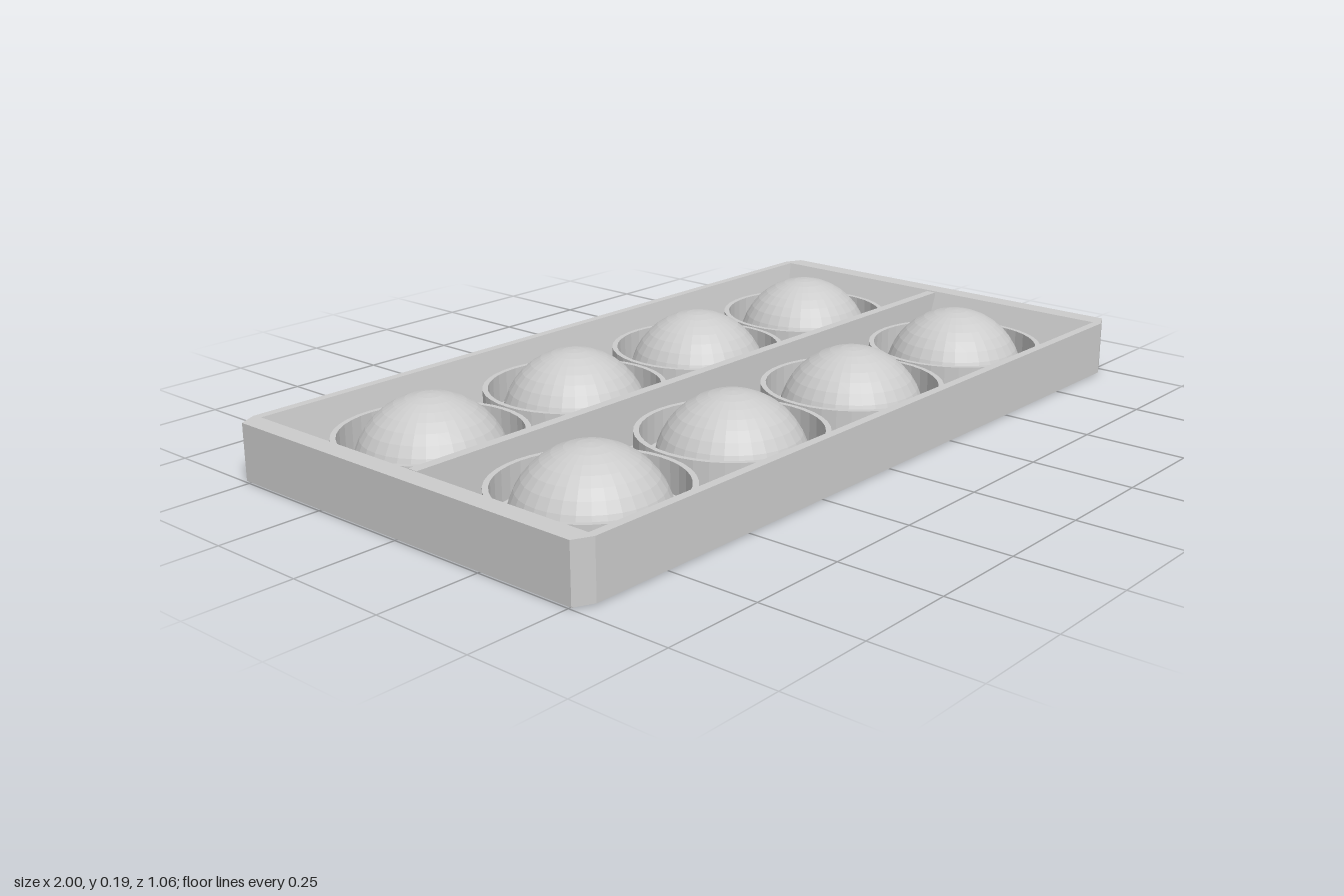
import * as THREE from 'three';

const material = new THREE.MeshStandardMaterial({ color: 0xcccccc, flatShading: true });

// Rectangle with cut corners: half sizes x, z and corner cuts cx, cz, at height y
function loop(x, z, cx, cz, y) {
  return [
    [x, y, -z + cz], [x, y, z - cz], [x - cx, y, z], [-x + cx, y, z],
    [-x, y, z - cz], [-x, y, -z + cz], [-x + cx, y, -z], [x - cx, y, -z],
  ];
}

// Skin a list of equal loops
function skin(loops) {
  const n = loops[0].length;
  const index = [];
  for (let k = 0; k < loops.length - 1; k++) {
    for (let i = 0; i < n; i++) {
      const j = (i + 1) % n;
      const a = k * n + i, b = k * n + j, c = a + n, d = b + n;
      index.push(a, c, b, b, c, d);
    }
  }
  const indexed = new THREE.BufferGeometry();
  indexed.setAttribute('position', new THREE.Float32BufferAttribute(loops.flat(2), 3));
  indexed.setIndex(index);
  const geometry = indexed.toNonIndexed();
  geometry.computeVertexNormals();
  return geometry;
}

function addMesh(parent, name, geometry, x = 0, y = 0, z = 0) {
  const mesh = new THREE.Mesh(geometry, material);
  mesh.name = name;
  mesh.position.set(x, y, z);
  parent.add(mesh);
  return mesh;
}

export function createModel() {
  const model = new THREE.Group();
  model.name = 'domeTray';
  const floorY = 0.02;

  // Tray: underside, outer walls, rim, sloping inner walls and floor
  addMesh(model, 'tray', skin([
    loop(0, 0, 0, 0, 0),
    loop(0.96, 0.51, 0, 0, 0),
    loop(1, 0.53, 0.045, 0.022, 0.004),
    loop(1, 0.53, 0.045, 0.022, 0.14),
    loop(0.95, 0.508, 0, 0, 0.14),
    loop(0.903, 0.485, 0, 0, floorY),
    loop(0, 0, 0, 0, floorY),
  ]));

  // Long divider between the two rows
  addMesh(model, 'divider', new THREE.BoxGeometry(1.89, 0.125, 0.026), 0, 0.0755, 0);

  // Domes, each inside a thin upright collar
  const domeGeometry = new THREE.SphereGeometry(0.18, 32, 10, 0, Math.PI * 2, 0, Math.PI / 2);
  const collarProfile = [
    [0.224, 0.01], [0.224, 0.094], [0.211, 0.094], [0.211, 0.01],
  ].map(([r, y]) => new THREE.Vector2(r, y));
  const collarGeometry = new THREE.LatheGeometry(collarProfile, 40);

  for (const z of [-0.25, 0.25]) {
    for (let i = 0; i < 4; i++) {
      const x = (i - 1.5) * 0.455;
      addMesh(model, 'dome', domeGeometry, x, 0.005, z);
      addMesh(model, 'collar', collarGeometry, x, 0, z);
    }
  }
  return model;
}
